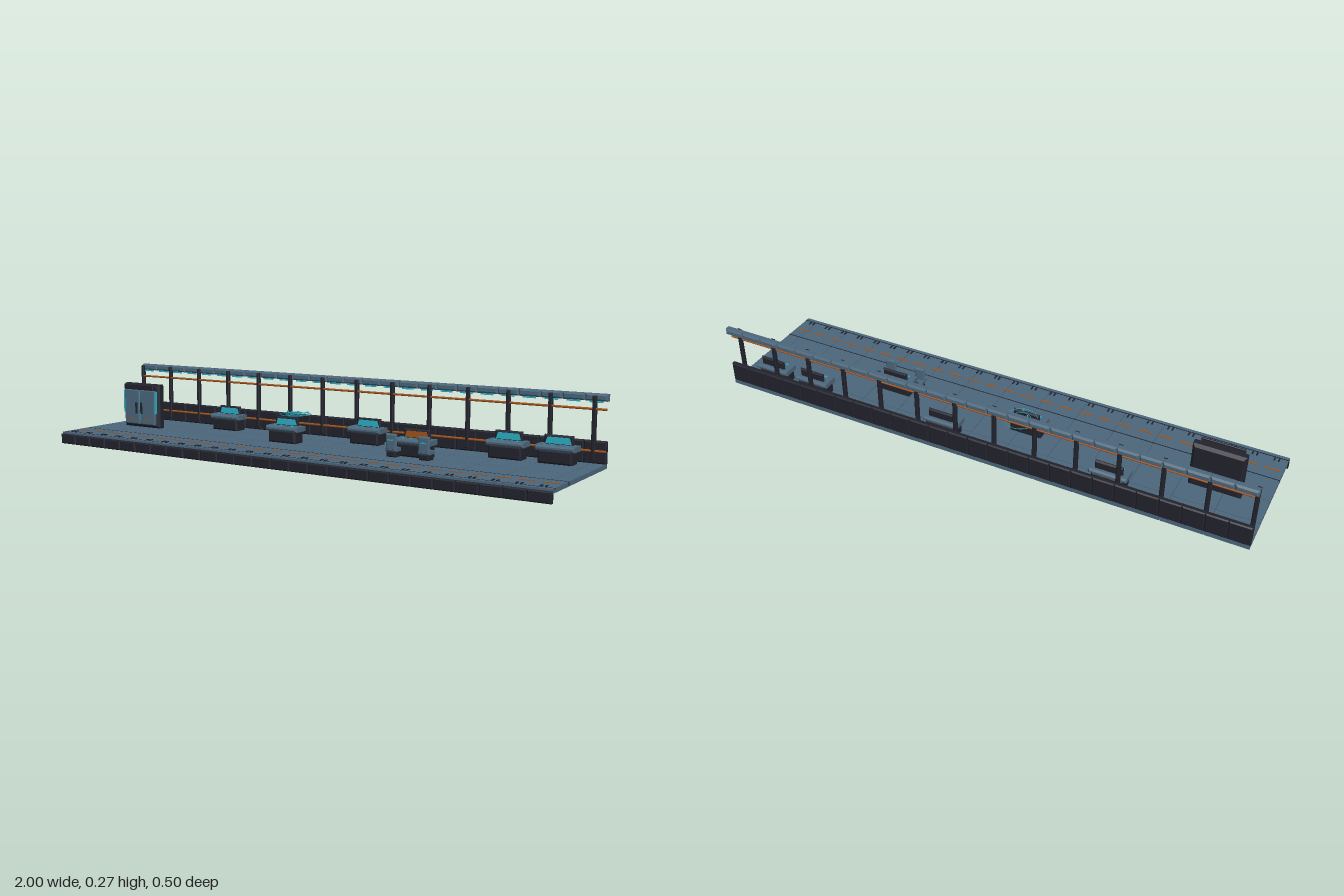
import * as THREE from 'three';

const flat = (name, color) => {
  const m = new THREE.MeshStandardMaterial({ color });
  m.name = name;
  return m;
};

export function createModel() {
  const slate = flat('slate panel', 0x4b667a);
  const dark = flat('dark metal', 0x22222d);
  const cyan = flat('cyan light', 0x2bb0c6);
  const orange = flat('orange trim', 0xa2541c);
  const root = new THREE.Group();
  root.name = 'controlDeck';

  const put = (parent, name, geo, mat, x, y, z) => {
    const m = new THREE.Mesh(geo, mat);
    m.name = name;
    m.position.set(x, y, z);
    parent.add(m);
    return m;
  };
  const box = (parent, name, mat, w, h, d, x, y, z) =>
    put(parent, name, new THREE.BoxGeometry(w, h, d), mat, x, y, z);

  // Box with chamfered edges, centred on its origin
  const chamferGeo = (w, h, d, c) => {
    const a = w / 2 - c, b = h / 2 - c;
    const s = new THREE.Shape();
    s.moveTo(-a, -b);
    s.lineTo(a, -b);
    s.lineTo(a, b);
    s.lineTo(-a, b);
    s.closePath();
    const g = new THREE.ExtrudeGeometry(s, {
      depth: d - 2 * c, bevelEnabled: true, bevelSize: c, bevelThickness: c, bevelSegments: 1,
    });
    return g.translate(0, 0, -(d / 2 - c));
  };
  const chamfer = (parent, name, mat, w, h, d, c, x, y, z) =>
    put(parent, name, chamferGeo(w, h, d, c), mat, x, y, z);

  const group = (name, x, z) => {
    const g = new THREE.Group();
    g.name = name;
    g.position.set(x, 0, z);
    root.add(g);
    return g;
  };

  // Floor tiles in four rows with narrow gaps
  const floor = group('floor', 0, 0);
  const rows = [0.225, 0.1085, -0.0085, -0.1255, -0.243];
  for (let r = 0; r < 4; r++) {
    const d = rows[r] - rows[r + 1];
    for (let x = -1; x < 0.99; x += 0.15) {
      const w = Math.min(0.15, 1 - x);
      box(floor, 'floorTile', slate, w - 0.002, 0.015, d - 0.002, x + w / 2, 0.0365, rows[r] - d / 2);
    }
  }
  box(floor, 'frontLip', slate, 2, 0.014, 0.015, 0, 0.037, 0.2335);
  for (const z of [0.225, 0.1085]) box(floor, 'floorSeam', dark, 2, 0.012, 0.004, 0, 0.0383, z);

  // Front skirt, clips and dashed warning line
  const N = 26, step = 2 / N;
  for (let i = 0; i < N; i++) {
    const x = -1 + (i + 0.5) * step;
    chamfer(floor, 'skirtPanel', dark, step - 0.001, 0.037, 0.021, 0.004, x, 0.0185, 0.2415);
    box(floor, 'warningDash', orange, 0.052, 0.002, 0.006, x, 0.0448, 0.157);
    for (const s of [-1, 1]) box(floor, 'edgeClip', dark, 0.005, 0.003, 0.017, x + s * 0.008, 0.0455, 0.212);
  }

  // Back wall: low panels, top beam and lights
  const wall = group('backWall', 0, 0);
  for (let i = 0; i < N; i++) {
    const x = -1 + (i + 0.5) * step;
    chamfer(wall, 'wallPanel', dark, step - 0.001, 0.075, 0.02, 0.004, x, 0.0815, -0.235);
    chamfer(wall, 'beamSegment', slate, step - 0.001, 0.024, 0.029, 0.006, x, 0.262, -0.2355);
    box(wall, 'beamLight', cyan, 0.045, 0.005, 0.006, x, 0.248, -0.2235);
  }

  // Posts and horizontal conduits
  for (let i = 0; i < 14; i++)
    chamfer(wall, 'post', dark, 0.014, 0.213, 0.016, 0.003, -0.992 + i * 0.15, 0.162, -0.221);
  for (const [y, z] of [[0.225, -0.218], [0.087, -0.218]]) {
    const rail = put(wall, 'conduit', new THREE.CylinderGeometry(0.004, 0.004, 2, 8), orange, 0, y, z);
    rail.rotation.z = Math.PI / 2;
  }

  // Trapezoid plate used for the screens
  const screenGeo = (bottom, top, h) => {
    const s = new THREE.Shape();
    s.moveTo(-bottom / 2, 0);
    s.lineTo(bottom / 2, 0);
    s.lineTo(top / 2, h);
    s.lineTo(-top / 2, h);
    s.closePath();
    return new THREE.ExtrudeGeometry(s, { depth: 0.002, bevelEnabled: false });
  };

  const addConsole = (x, z, screenMat) => {
    const g = group('console', x, z);
    chamfer(g, 'consoleBase', dark, 0.118, 0.046, 0.058, 0.006, 0, 0.068, 0);
    chamfer(g, 'consoleDesk', slate, 0.137, 0.018, 0.067, 0.006, 0, 0.097, 0);
    chamfer(g, 'screenFrame', dark, 0.1, 0.034, 0.013, 0.005, 0, 0.12, -0.013);
    put(g, 'screen', screenGeo(0.09, 0.076, 0.022), screenMat, 0, 0.108, -0.0065);
    for (let i = 0; i < 4; i++)
      box(g, 'button', i === 2 ? slate : cyan, 0.009, 0.003, 0.006, -0.039 + i * 0.026, 0.107, 0.015);
    return g;
  };
  for (const x of [-0.493, 0.14, 0.685, 0.86]) addConsole(x, -0.159, cyan);
  const holoConsole = addConsole(-0.128, -0.026, cyan);
  const crewConsole = addConsole(0.412, -0.02, orange);

  // Hologram: flat rings, spokes and floating markers
  const holo = new THREE.Group();
  holo.name = 'hologram';
  holo.position.set(0, 0.141, -0.064);
  holoConsole.add(holo);
  for (const r of [0.058, 0.036, 0.016]) {
    const ring = put(holo, 'hologramRing', new THREE.TorusGeometry(r, 0.0012, 4, 32), cyan, 0, 0, 0);
    ring.rotation.x = Math.PI / 2;
  }
  for (let i = 0; i < 6; i++) {
    const a = i * 1.05 + 0.3, r = i % 2 ? 0.045 : 0.025;
    box(holo, 'hologramMarker', cyan, 0.005, 0.006, 0.005, Math.cos(a) * r, 0.005, Math.sin(a) * r);
  }

  // Pair of chairs facing the crew console
  for (const s of [-1, 1]) {
    const chair = new THREE.Group();
    chair.name = 'chair';
    chair.position.set(s * 0.062, 0, 0.04);
    crewConsole.add(chair);
    chamfer(chair, 'chairBase', dark, 0.036, 0.021, 0.042, 0.004, 0, 0.056, 0.002);
    chamfer(chair, 'chairSeat', slate, 0.042, 0.013, 0.044, 0.004, 0, 0.071, 0.001);
    chamfer(chair, 'chairBack', slate, 0.042, 0.057, 0.013, 0.005, 0, 0.097, 0.017);
    box(chair, 'chairLight', cyan, 0.02, 0.004, 0.003, 0, 0.104, 0.0245);
  }

  // Tall double-door cabinet
  const cab = group('cabinet', -0.818, -0.031);
  chamfer(cab, 'cabinetBody', dark, 0.182, 0.173, 0.04, 0.01, 0, 0.132, 0);
  chamfer(cab, 'cabinetHeader', dark, 0.15, 0.021, 0.008, 0.002, 0, 0.207, 0.031);
  box(cab, 'headerBracket', dark, 0.14, 0.012, 0.012, 0, 0.205, 0.023);
  for (const s of [-1, 1]) {
    chamfer(cab, 'cabinetDoor', slate, 0.076, 0.137, 0.014, 0.003, s * 0.04, 0.127, 0.024);
    box(cab, 'doorLight', cyan, 0.005, 0.088, 0.009, s * 0.081, 0.148, 0.025);
    box(cab, 'doorHandle', dark, 0.004, 0.045, 0.008, s * 0.013, 0.123, 0.035);
    box(cab, 'doorMarker', orange, 0.022, 0.005, 0.002, s * 0.04, 0.08, 0.032);
  }
  box(cab, 'centreLight', cyan, 0.003, 0.12, 0.008, 0, 0.132, 0.024);

  return root;
}
